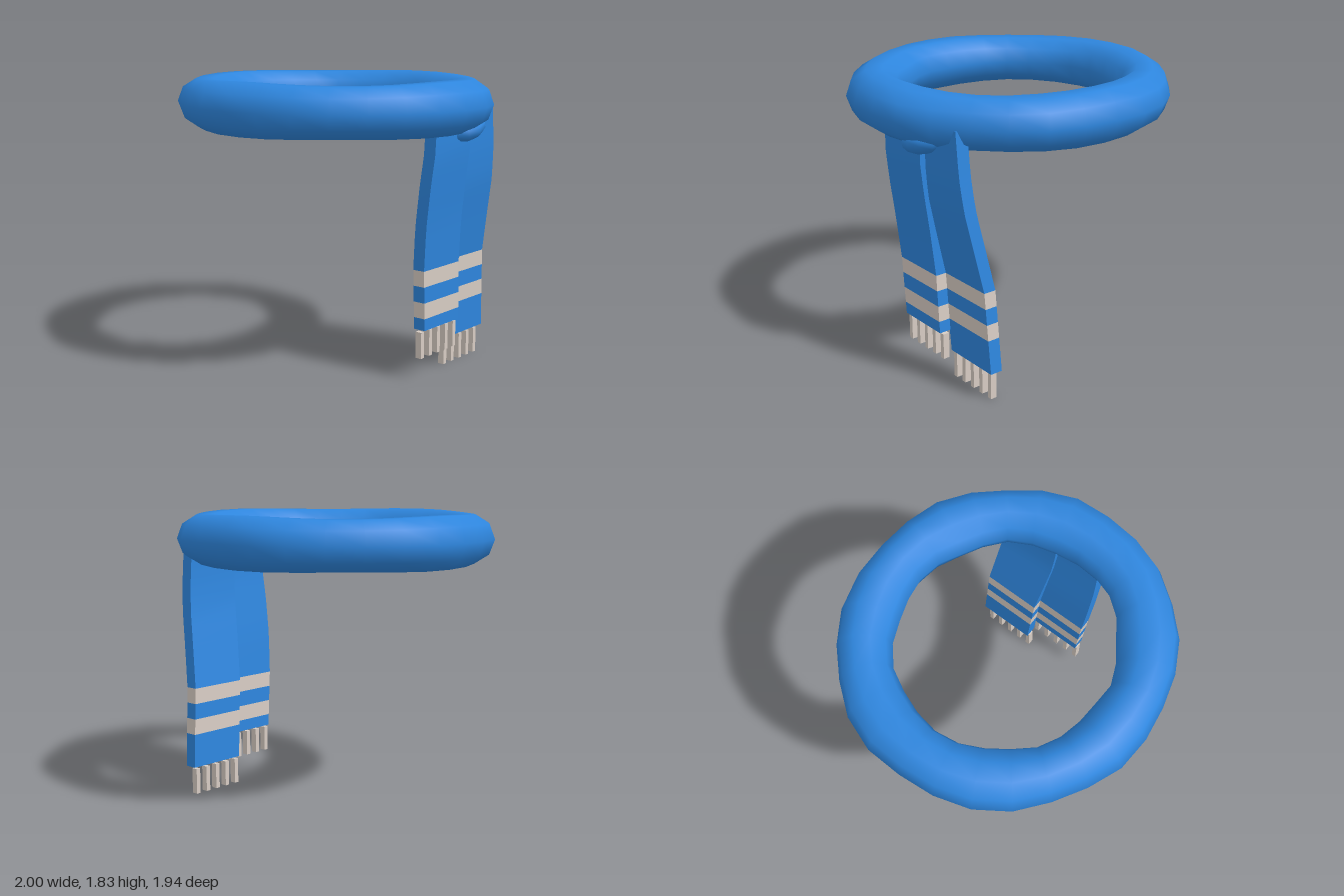
import * as THREE from 'three';

const blue = new THREE.MeshStandardMaterial({ color: 0x2e86de });
blue.name = 'blue wool';
const cream = new THREE.MeshStandardMaterial({ color: 0xd7ccc3 });
cream.name = 'cream wool';

// Outer and inner radius of the loop, every 1/28 turn from +x towards +z
const OUTER = [1, 1, 1, .984, .985, .97, .957, .965, .977, .968, .975, 1, 1.01, 1.003,
  1, 1.02, 1.02, 1, 1, 1.005, .995, .977, .985, 1.005, .995, .98, 1, 1.015];
const INNER = [.65, .655, .658, .644, .617, .626, .636, .615, .623, .64, .652, .644, .654, .673,
  .68, .673, .671, .684, .675, .653, .653, .66, .655, .635, .648, .668, .657, .645];

function mesh(name, geometry, material) {
  const m = new THREE.Mesh(geometry, material);
  m.name = name;
  return m;
}

// Uneven ring: ten-sided sections swept around, smooth across the seams
function loopGeometry() {
  const n = OUTER.length, sides = 10, pos = [], index = [];
  for (let i = 0; i < n; i++) {
    const a = (i / n) * Math.PI * 2;
    const mid = (OUTER[i] + INNER[i]) / 2, half = (OUTER[i] - INNER[i]) / 2;
    const rise = 0.158 + 0.006 * Math.cos(4 * a);
    for (let j = 0; j < sides; j++) {
      const b = (j / sides) * Math.PI * 2;
      const r = mid + half * Math.cos(b);
      pos.push(r * Math.cos(a), 1.67 + rise * Math.sin(b), r * Math.sin(a));
      const i2 = (i + 1) % n, j2 = (j + 1) % sides;
      const p = i * sides + j, q = i * sides + j2, s = i2 * sides + j2, t = i2 * sides + j;
      index.push(p, q, s, p, s, t);
    }
  }
  const g = new THREE.BufferGeometry();
  g.setAttribute('position', new THREE.Float32BufferAttribute(pos, 3));
  g.setIndex(index);
  g.computeVertexNormals();
  return g;
}

// Reads a row [y, x centre, front z, back z] between the given rows (top to bottom)
function rowAt(rows, y) {
  let i = 0;
  while (i < rows.length - 2 && y < rows[i + 1][0]) i++;
  const t = (rows[i][0] - y) / (rows[i][0] - rows[i + 1][0]);
  return rows[i].map((v, k) => THREE.MathUtils.lerp(v, rows[i + 1][k], t));
}

// One colour band of a hanging end: a box bent along the rows
function bandGeometry(rows, top, bottom) {
  const g = new THREE.BoxGeometry(1, 1, 1, 1, Math.ceil((top - bottom) / 0.1), 1);
  const p = g.attributes.position;
  for (let i = 0; i < p.count; i++) {
    const y = THREE.MathUtils.lerp(bottom, top, p.getY(i) + 0.5);
    const [, x, front, back] = rowAt(rows, y);
    p.setXYZ(i, x + p.getX(i) * 0.08, y, p.getZ(i) > 0 ? front : back);
  }
  g.computeVertexNormals();
  return g;
}

function hangingEnd(name, rows, fringe) {
  const group = new THREE.Group();
  group.name = name;
  const levels = [rows[0][0], 0.7, 0.6, 0.5, 0.4, rows[rows.length - 1][0]];
  for (let i = 0; i < 5; i++) {
    const stripe = i % 2 === 1;
    group.add(mesh(stripe ? 'stripe' : 'cloth',
      bandGeometry(rows, levels[i], levels[i + 1]), stripe ? cream : blue));
  }
  // Fringe strands
  for (let i = 0; i < 5; i++) {
    const strand = mesh('fringe', new THREE.BoxGeometry(0.042, 0.166, 0.03), cream);
    strand.position.set(fringe.x, fringe.y, fringe.z - i * 0.084);
    group.add(strand);
  }
  return group;
}

export function createModel() {
  const scarf = new THREE.Group();
  scarf.name = 'scarf';
  scarf.add(mesh('neckLoop', loopGeometry(), blue));

  // Knot under the loop
  const knot = mesh('knot', new THREE.SphereGeometry(1, 10, 7), blue);
  knot.scale.set(0.12, 0.075, 0.15);
  knot.position.set(0.81, 1.535, -0.25);
  knot.rotation.x = 0.25;
  scarf.add(knot);

  // Shorter end
  scarf.add(hangingEnd('shortEnd', [
    [1.6, 0.81, 0.09, -0.262], [1.42, 0.81, 0.097, -0.26], [1.23, 0.787, 0.105, -0.256],
    [0.965, 0.754, 0.1, -0.264], [0.7, 0.732, 0.084, -0.28], [0.325, 0.727, 0.06, -0.298],
  ], { x: 0.724, y: 0.227, z: 0.05 }));

  // Longer end
  scarf.add(hangingEnd('longEnd', [
    [1.66, 0.775, -0.19, -0.557], [1.4, 0.773, -0.2, -0.58], [1.2, 0.756, -0.21, -0.6],
    [0.965, 0.711, -0.235, -0.625], [0.7, 0.662, -0.265, -0.654], [0.185, 0.645, -0.3, -0.69],
  ], { x: 0.643, y: 0.083, z: -0.31 }));
  return scarf;
}
